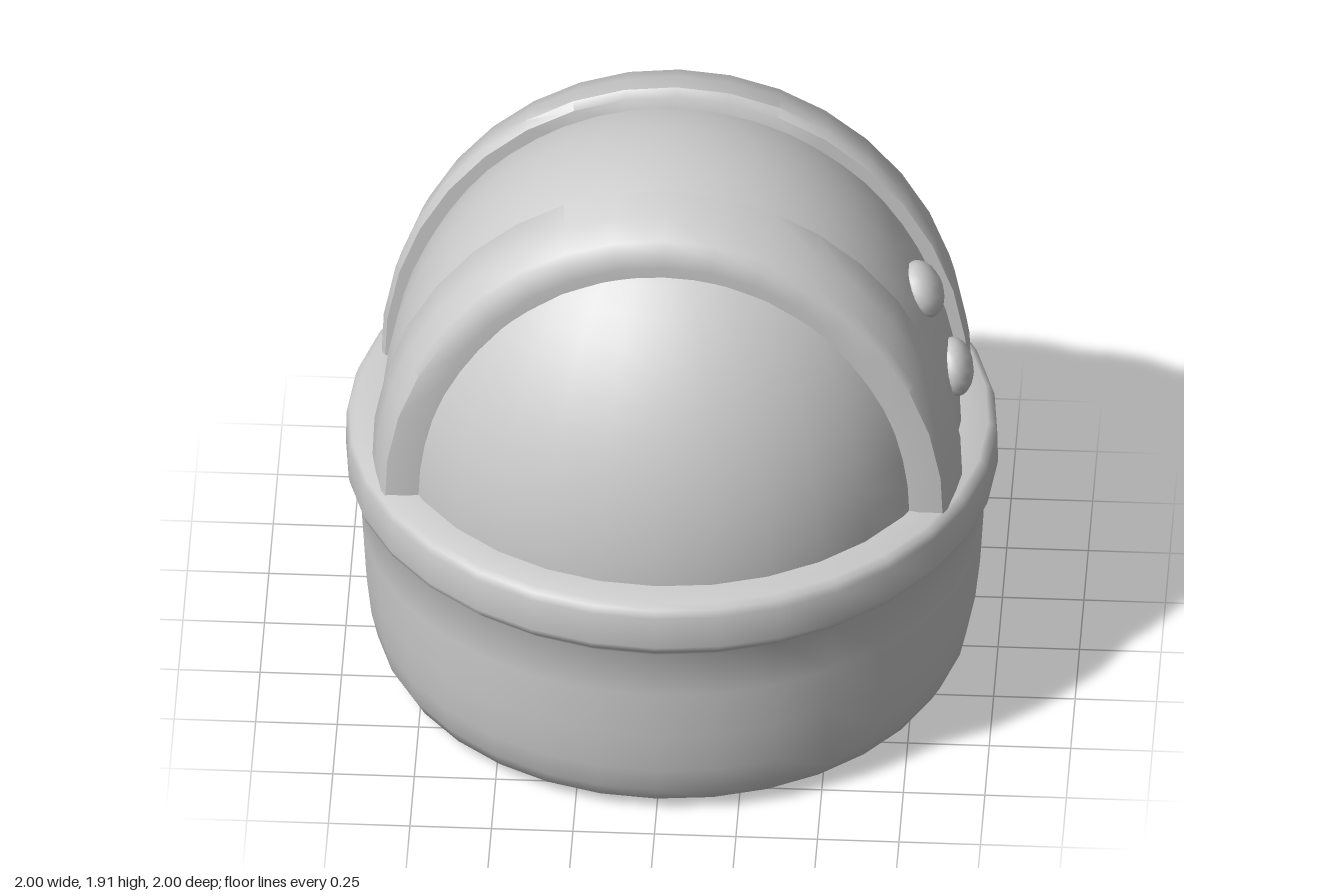
import * as THREE from 'three';
import { toCreasedNormals } from 'three/addons/utils/BufferGeometryUtils.js';

const RIM_Y = 0.86, DOME_R = 0.887, DOME_H = 1.03;

export function createModel() {
  const group = new THREE.Group();
  const material = new THREE.MeshStandardMaterial({ color: 0xcccccc });
  const add = (name, geometry) => {
    const mesh = new THREE.Mesh(geometry, material);
    mesh.name = name;
    group.add(mesh);
    return mesh;
  };

  // Rounded tub with a raised rim, turned as one smooth profile
  const profile = [[0, 0], [0.76, 0], [0.83, 0.012], [0.88, 0.045], [0.91, 0.1],
    [0.93, 0.19], [0.945, 0.33], [0.955, 0.5], [0.96, 0.66], [0.97, 0.675], [0.995, 0.697],
    [1, 0.715], [0.998, 0.825], [0.99, 0.85], [0.97, 0.862], [0.86, 0.87]];
  add('base', toCreasedNormals(
    new THREE.LatheGeometry(profile.map(([r, y]) => new THREE.Vector2(r, y)), 32), 1));

  // Upper half of a slightly tall ellipsoid
  const dome = new THREE.SphereGeometry(1, 32, 16, 0, Math.PI * 2, 0, Math.PI / 2);
  dome.scale(DOME_R, DOME_H, DOME_R);
  dome.translate(0, RIM_Y, 0);
  add('dome', dome);

  // Arched bands: each section point is [z, half width at the rim, height at the top]
  const section = [[0.238, 0.78, 1.78], [0.238, 0.895, 1.895], [0.262, 0.907, 1.915],
    [0.35, 0.892, 1.89], [0.435, 0.872, 1.852], [0.462, 0.857, 1.825],
    [0.468, 0.785, 1.775], [0.46, 0.72, 1.68]];
  const STEPS = 18;
  function bandGeometry() {
    const positions = [], index = [], n = section.length;
    for (let i = 0; i <= STEPS; i++) {
      // The first and last steps sink a little into the rim
      const a = -0.04 + (Math.PI + 0.08) * i / STEPS;
      for (const [z, rx, top] of section) {
        positions.push(rx * Math.cos(a), RIM_Y + (top - RIM_Y) * Math.sin(a), z);
      }
    }
    for (let i = 0; i < STEPS; i++) {
      for (let j = 0; j < n; j++) {
        const a = i * n + j, b = i * n + (j + 1) % n;
        index.push(a, a + n, b, b, a + n, b + n);
      }
    }
    const g = new THREE.BufferGeometry();
    g.setAttribute('position', new THREE.Float32BufferAttribute(positions, 3));
    g.setIndex(index);
    return toCreasedNormals(g, 0.9);
  }
  add('frontBand', bandGeometry());
  add('backBand', bandGeometry()).rotation.y = Math.PI;

  // Two flattened studs on the left side
  for (const [name, y] of [['upperStud', 1.37], ['lowerStud', 1.075]]) {
    const s = (y - RIM_Y) / DOME_H;
    const x = DOME_R * Math.sqrt(1 - s * s);
    const stud = add(name, new THREE.SphereGeometry(0.092, 16, 10));
    stud.scale.x = 0.62;
    stud.position.set(x, y, 0);
    stud.rotation.z = Math.atan2(s / DOME_H, x / DOME_R ** 2);
  }
  return group;
}
